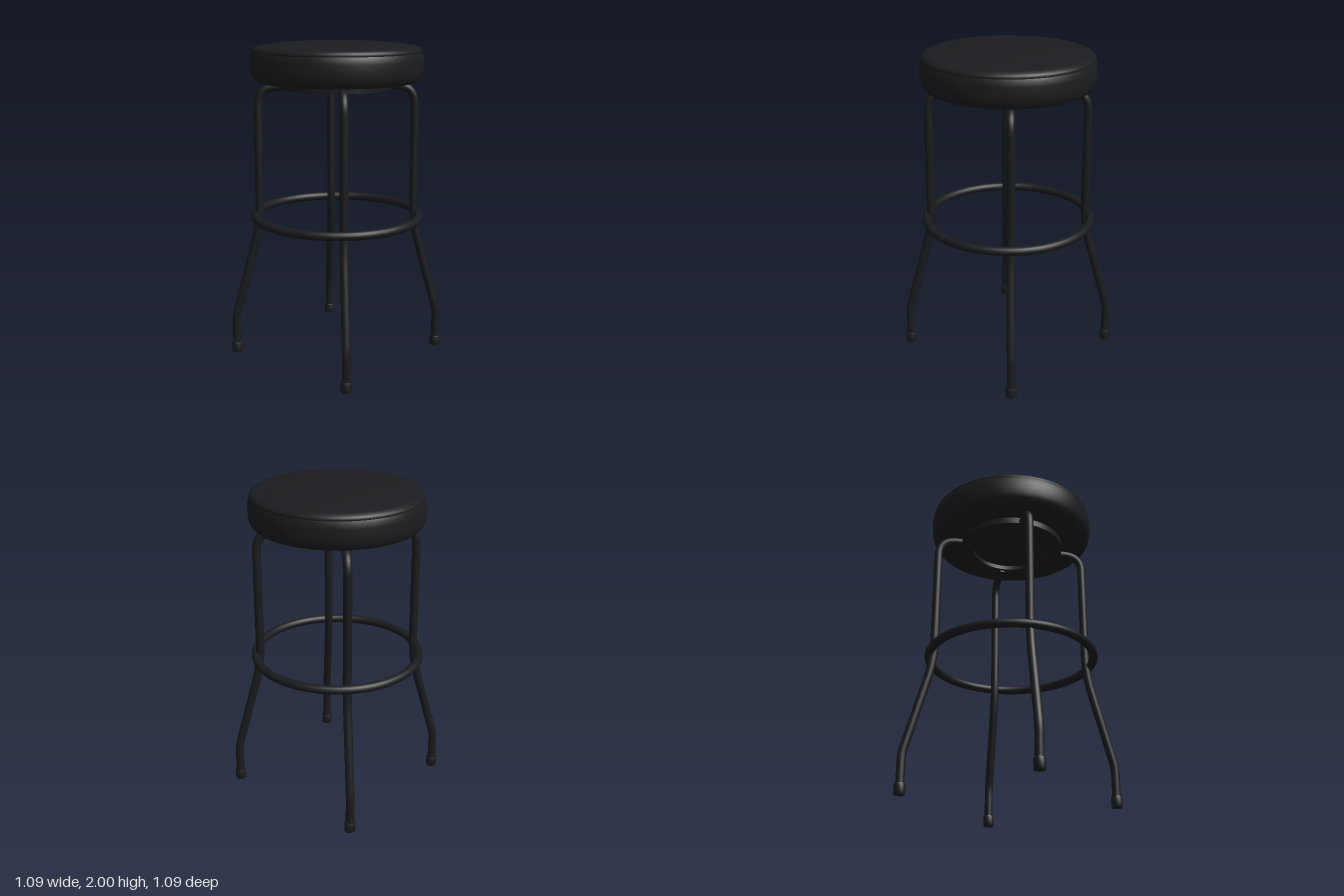
import * as THREE from 'three';
import { toCreasedNormals } from 'three/addons/utils/BufferGeometryUtils.js';

const vinyl = new THREE.MeshStandardMaterial({ color: 0x1b1c1f });
const metal = new THREE.MeshStandardMaterial({ color: 0x1a1b1e });
const TUBE = 0.0265;

function part(name, geometry, material = metal) {
  const mesh = new THREE.Mesh(geometry, material);
  mesh.name = name;
  return mesh;
}

// Revolved profile listed from bottom centre outwards and up, keeping sharp edges
function turned(profile, segments, crease) {
  const points = profile.map(([r, y]) => new THREE.Vector2(r, y));
  return toCreasedNormals(new THREE.LatheGeometry(points, segments), crease);
}

// Path of straight runs with rounded corners; each point is [radius, height, bend length]
function bentPath(points) {
  const path = new THREE.CurvePath();
  const v = points.map(([r, y]) => new THREE.Vector3(r, y, 0));
  let from = v[0];
  for (let i = 1; i < v.length - 1; i++) {
    const bend = points[i][2];
    const a = v[i].clone().add(v[i - 1].clone().sub(v[i]).setLength(bend));
    const b = v[i].clone().add(v[i + 1].clone().sub(v[i]).setLength(bend));
    path.add(new THREE.LineCurve3(from, a));
    path.add(new THREE.QuadraticBezierCurve3(a, v[i], b));
    from = b;
  }
  path.add(new THREE.LineCurve3(from, v[v.length - 1]));
  return path;
}

function createLeg() {
  const leg = new THREE.Group();
  const path = bentPath([
    [0.655, 0.02], [0.655, 0.245, 0.04], [0.49, 0.85, 0.13], [0.487, 1.725, 0.12], [0.27, 1.725],
  ]);
  leg.add(part('legTube', new THREE.TubeGeometry(path, 110, TUBE, 16)));

  // Closed inner end of the tube
  const end = part('legTubeEnd', new THREE.CircleGeometry(TUBE, 16));
  end.position.set(0.27, 1.725, 0);
  end.rotation.y = -Math.PI / 2;
  leg.add(end);

  // Rubber foot
  const foot = part('footCap', turned(
    [[0, 0], [0.032, 0], [0.034, 0.004], [0.034, 0.06], [0.031, 0.067], [0.02, 0.067]], 20, 0.6));
  foot.position.x = 0.655;
  leg.add(foot);
  return leg;
}

export function createModel() {
  const stool = new THREE.Group();
  stool.name = 'barStool';

  // Padded seat with a slightly domed top and a seam below the upper edge
  stool.add(part('seatCushion', turned([
    [0, 1.75], [0.44, 1.75], [0.475, 1.753], [0.502, 1.764], [0.52, 1.785], [0.528, 1.815],
    [0.53, 1.85], [0.53, 1.89], [0.526, 1.918], [0.519, 1.932], [0.521, 1.938], [0.517, 1.95],
    [0.505, 1.961], [0.485, 1.968], [0.4, 1.98], [0.28, 1.99], [0.14, 1.997], [0, 2],
  ], 72, 0.7), vinyl));

  // Round mounting plate with a recessed centre
  stool.add(part('mountingPlate', turned(
    [[0, 1.738], [0.25, 1.738], [0.25, 1.71], [0.338, 1.71], [0.338, 1.755]], 56, 0.6)));

  // Four bent legs on the diagonals
  for (let i = 0; i < 4; i++) {
    const leg = createLeg();
    leg.name = 'leg' + (i + 1);
    leg.rotation.y = Math.PI / 4 + i * Math.PI / 2;
    stool.add(leg);
  }

  // Foot ring
  const ring = part('footRing', new THREE.TorusGeometry(0.518, 0.027, 16, 80));
  ring.rotation.x = Math.PI / 2;
  ring.position.y = 0.91;
  stool.add(ring);

  return stool;
}
